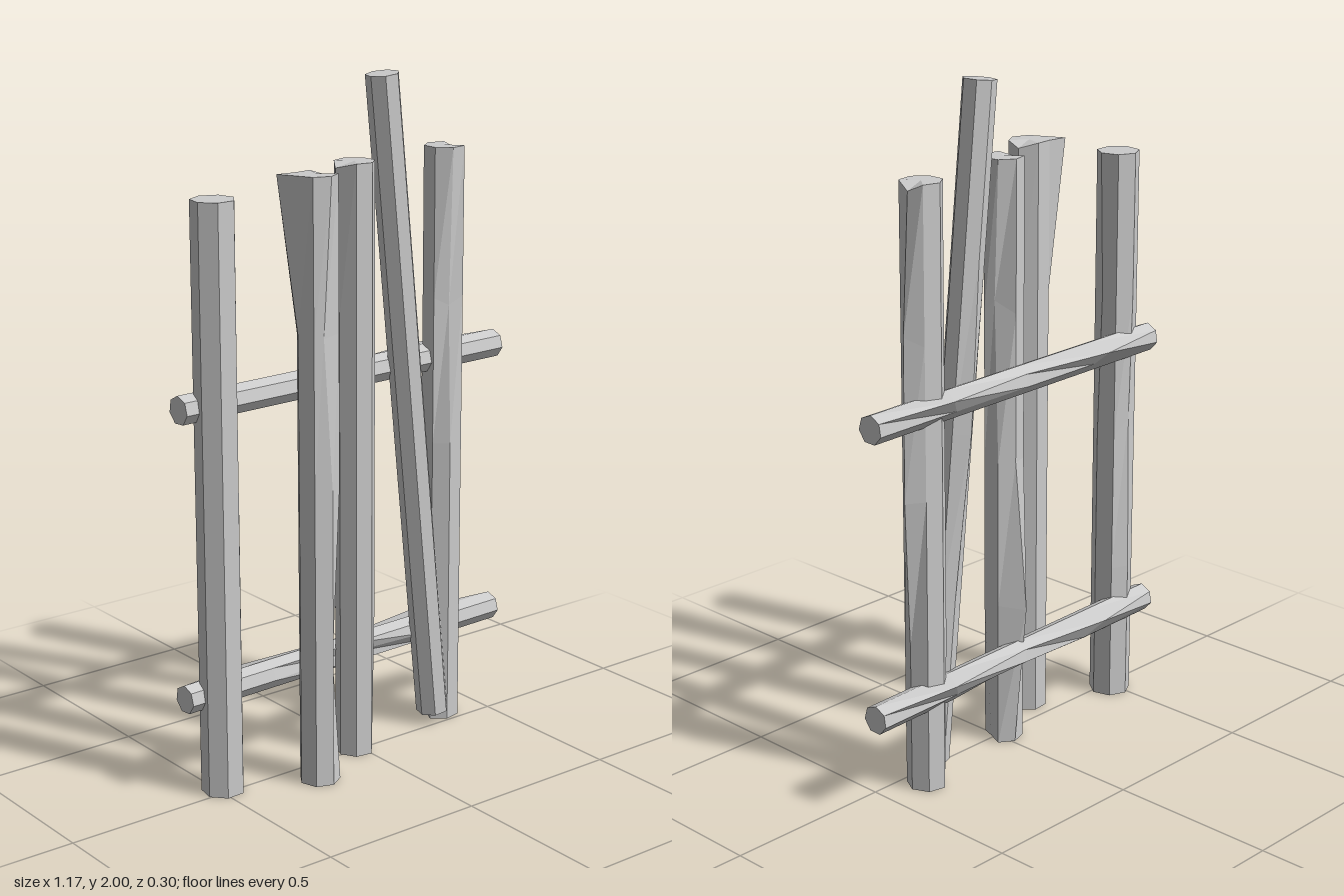
import * as THREE from 'three';

const material = new THREE.MeshStandardMaterial({ color: 0xcccccc, flatShading: true });

// A rough-hewn log from a to b; each pull drags the nearest corner to a given point.
function log(name, a, b, radius, phase, pulls = []) {
  const start = new THREE.Vector3(...a), end = new THREE.Vector3(...b);
  const dir = end.clone().sub(start);
  const geo = new THREE.CylinderGeometry(radius, radius, dir.length(), 7, 4);
  geo.rotateY(phase);
  geo.applyQuaternion(new THREE.Quaternion().setFromUnitVectors(
    new THREE.Vector3(0, 1, 0), dir.normalize()));
  geo.translate(...start.add(end).multiplyScalar(0.5).toArray());

  const pos = geo.attributes.position, v = new THREE.Vector3();
  for (const pull of pulls) {
    const target = new THREE.Vector3(...pull), nearest = new THREE.Vector3();
    let best = Infinity;
    for (let i = 0; i < pos.count; i++) {
      const d = v.fromBufferAttribute(pos, i).distanceTo(target);
      if (d < best) { best = d; nearest.copy(v); }
    }
    for (let i = 0; i < pos.count; i++) {
      if (v.fromBufferAttribute(pos, i).distanceTo(nearest) < 1e-4) pos.setXYZ(i, ...pull);
    }
  }
  geo.computeVertexNormals();
  const mesh = new THREE.Mesh(geo, material);
  mesh.name = name;
  return mesh;
}

export function createModel() {
  const fence = new THREE.Group();
  fence.name = 'fence';

  // Upright posts
  fence.add(
    log('postRight', [-0.485, 0, -0.022], [-0.485, 1.71, -0.022], 0.063, 1.4,
      [[-0.427, 1.29, -0.02], [-0.49, 0.9, -0.075]]),
    log('postMidRight', [-0.225, 0, 0.09], [-0.225, 1.765, 0.09], 0.06, 0.1,
      [[-0.315, 1.765, 0.032], [-0.165, 1.75, 0.075], [-0.2, 0.3, 0.11], [-0.24, 1.32, 0.14]]),
    log('postMiddle', [-0.017, 0, -0.008], [-0.017, 1.765, -0.008], 0.059, 1.2,
      [[-0.02, 0.43, -0.1], [-0.08, 1.75, -0.015], [0.025, 1.36, -0.015], [0.035, 0.015, -0.01]]),
    log('postLeft', [0.355, 0, -0.065], [0.355, 1.765, -0.065], 0.06, 1.55,
      [[0.432, 1.35, -0.07], [0.44, 0.88, -0.075], [0.41, 1.745, -0.07],
        [0.345, 1.3, -0.025], [0.3, 0.02, -0.07]]),
  );

  // Loose leaning post
  fence.add(log('leaningPost', [0.295, 0.04, -0.024], [0.093, 1.995, -0.024], 0.049, 1.3,
    [[0.19, 1.02, -0.085]]));

  // Cross rails behind the posts
  const rail = (name, y, pulls) => log(name, [-0.585, y, -0.06], [0.585, y, -0.098], 0.042, 0.2,
    [[0.325, y + 0.03, -0.155], [-0.33, y + 0.02, -0.135], ...pulls]);
  fence.add(
    rail('upperRail', 1.135, []),
    rail('lowerRail', 0.29, [[0, 0.285, -0.06], [0.02, 0.26, -0.085], [-0.27, 0.265, -0.105]]),
  );
  return fence;
}
